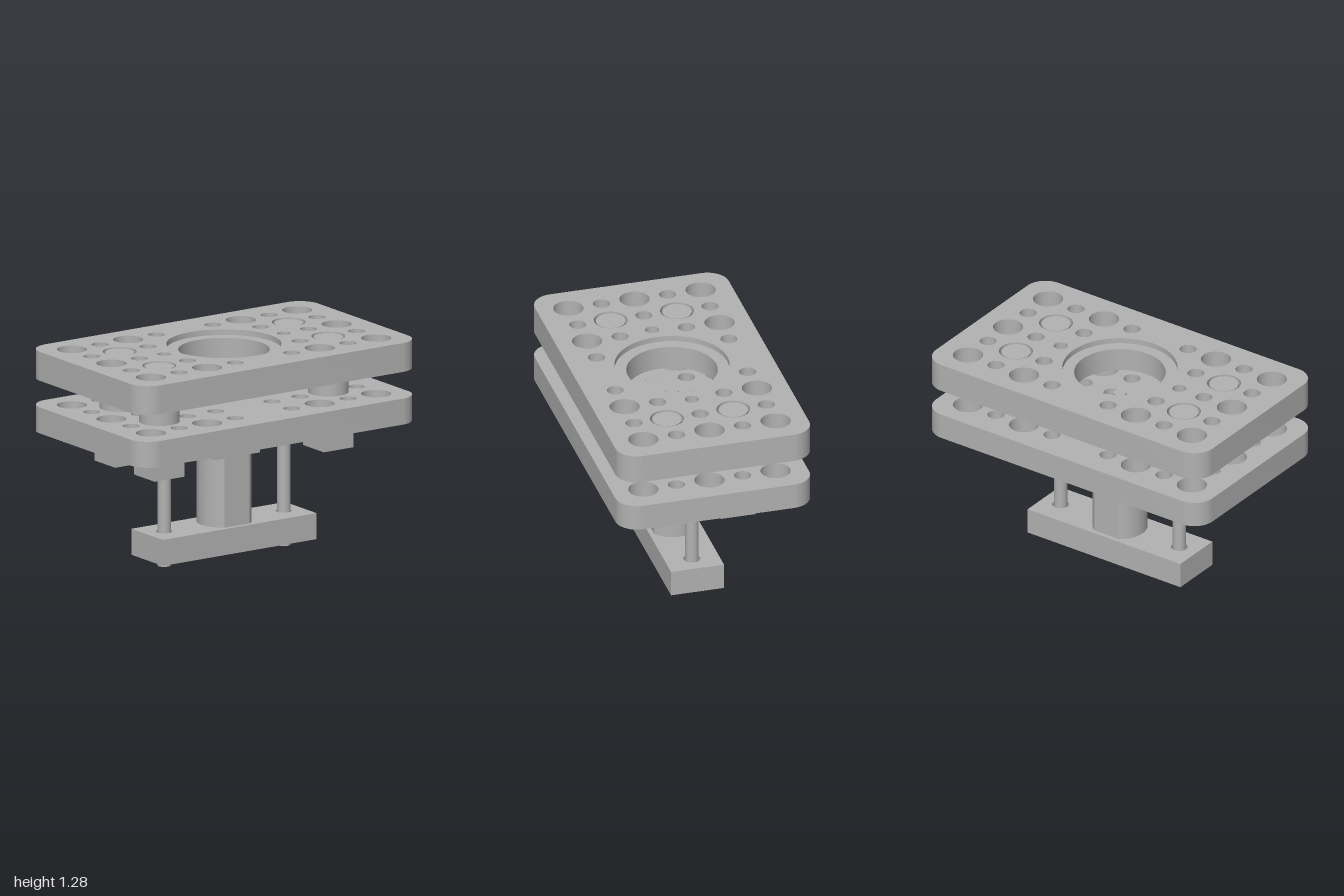
import * as THREE from 'three';
import { toCreasedNormals } from 'three/addons/utils/BufferGeometryUtils.js';

const metal = new THREE.MeshStandardMaterial({ color: 0xb2b2b2 });
metal.name = 'plain grey metal';

export function createModel() {
  const model = new THREE.Group();
  model.name = 'guidedPlateAssembly';

  const add = (name, geometry, x = 0, y = 0, z = 0) => {
    const mesh = new THREE.Mesh(geometry, metal);
    mesh.name = name;
    mesh.position.set(x, y, z);
    model.add(mesh);
    return mesh;
  };
  const rod = (name, r, y0, y1, x = 0, z = 0, sides = 40) => {
    const g = new THREE.CylinderGeometry(r, r, y1 - y0, sides);
    return add(name, sides < 8 ? g.toNonIndexed() : g, x, (y0 + y1) / 2, z).geometry;
  };
  const box = (name, w, y0, y1, d, x = 0, z = 0) =>
    add(name, new THREE.BoxGeometry(w, y1 - y0, d), x, (y0 + y1) / 2, z);

  // Outlines lie in the ground plane and are raised from y0 to y1
  const raise = (name, shape, y0, y1, x = 0, z = 0) => {
    const g = new THREE.ExtrudeGeometry(shape, { depth: y1 - y0, bevelEnabled: false, curveSegments: 20 });
    g.rotateX(-Math.PI / 2);
    return add(name, toCreasedNormals(g, 0.5), x, y0, z);
  };
  const circle = (x, z, r) => new THREE.Path().absarc(x, -z, r, 0, Math.PI * 2, true);
  const polygon = (Kind, points) => new Kind(points.map(([x, z]) => new THREE.Vector2(x, -z)));
  const rect = (Kind, w, d) => polygon(Kind, [[-w, -d], [-w, d], [w, d], [w, -d]]);
  const hex = (Kind, x, r) => polygon(Kind, Array.from({ length: 6 }, (_, i) =>
    [x + r * Math.cos(i * Math.PI / 3), r * Math.sin(i * Math.PI / 3)]));

  // Rounded plate with the repeating hole pattern
  const plate = (name, y0, y1, extraHoles) => {
    const w = 1, d = 0.593, r = 0.13, s = new THREE.Shape();
    s.absarc(w - r, d - r, r, 0, Math.PI / 2);
    s.absarc(r - w, d - r, r, Math.PI / 2, Math.PI);
    s.absarc(r - w, r - d, r, Math.PI, Math.PI * 1.5);
    s.absarc(w - r, r - d, r, Math.PI * 1.5, Math.PI * 2);
    s.closePath();
    for (const side of [-1, 1]) {
      for (const z of [-0.405, 0.405]) {
        for (const [x, hr] of [[0.81, 0.089], [0.608, 0.05], [0.405, 0.089], [0.203, 0.05]])
          s.holes.push(circle(side * x, z, hr));
        for (const x of [0.81, 0.405]) s.holes.push(circle(side * x, z / 2, 0.05));
      }
      s.holes.push(circle(side * 0.81, 0, 0.089), circle(side * 0.608, 0, 0.05), circle(side * 0.43, 0, 0.041));
    }
    s.holes.push(...extraHoles);
    raise(name, s, y0, y1);
  };
  const corners = [[-0.608, -0.203], [0.608, -0.203], [-0.608, 0.203], [0.608, 0.203]];
  const postHoles = () => corners.map(([x, z]) => circle(x, z, 0.1));

  // Top plate, in two layers for the stepped centre bore
  plate('topPlate', 1.108, 1.25, [circle(0, 0, 0.27), ...postHoles()]);
  plate('topPlateRim', 1.25, 1.284, [circle(0, 0, 0.34), ...postHoles()]);

  // Lower plate with shaft, screw and small corner holes
  plate('lowerPlate', 0.788, 0.946, [
    circle(0, 0, 0.065), circle(-0.12, 0, 0.042), circle(0.12, 0, 0.042),
    ...[-1, 1].flatMap(a => [-1, 1].map(b => circle(a * 0.203, b * 0.203, 0.05))),
  ]);

  // Corner posts, nut blocks and their bolts
  for (const [x, z] of corners) {
    rod('spacerPost', 0.12, 0.946, 1.108, x, z);
    rod('postTop', 0.087, 1.108, 1.28, x, z);
    const lower = rect(THREE.Shape, 0.106, 0.106);
    lower.holes.push(hex(THREE.Path, 0, 0.082));
    raise('nutBlockRim', lower, 0.614, 0.65, x, z);
    box('nutBlock', 0.212, 0.65, 0.788, 0.212, x, z);
    rod('nut', 0.068, 0.62, 0.65, x, z, 6).computeVertexNormals();
    rod('boltEnd', 0.04, 0.608, 0.65, x, z);
  }

  // Base bar: hexagonal nut recesses below, round holes above, square pocket
  const barLower = rect(THREE.Shape, 0.553, 0.162);
  const barUpper = rect(THREE.Shape, 0.553, 0.162);
  for (const x of [-0.43, 0.43]) {
    barLower.holes.push(hex(THREE.Path, x, 0.085));
    barUpper.holes.push(circle(x, 0, 0.05));
    rod('guideRod', 0.04, 0, 0.946, x);
    rod('guideNut', 0.072, 0.06, 0.092, x, 0, 6).computeVertexNormals();
  }
  for (const s of [barLower, barUpper]) s.holes.push(rect(THREE.Path, 0.1, 0.1));
  raise('baseBarLower', barLower, 0.048, 0.092);
  raise('baseBarUpper', barUpper, 0.092, 0.206);

  // Motor body: round sides with flats at front and back
  const motor = new THREE.Shape();
  const a = Math.asin(0.135 / 0.162);
  motor.absarc(0, 0, 0.162, -a, a);
  motor.absarc(0, 0, 0.162, Math.PI - a, Math.PI + a);
  motor.closePath();
  raise('motorBody', motor, 0.2, 0.627);
  rod('motorTailShaft', 0.012, 0.042, 0.2);

  // Mounting brackets above the motor
  box('lowerMountPlate', 0.326, 0.627, 0.656, 0.27);
  box('upperMountPlate', 0.326, 0.738, 0.767, 0.27);
  for (const x of [-0.097, 0.097]) {
    box('mountUpright', 0.07, 0.656, 0.738, 0.19, x);
    box('mountPad', 0.07, 0.767, 0.788, 0.19, x);
  }

  // Drive shaft rising through the lower plate
  rod('shaftCollar', 0.055, 0.656, 0.94);
  rod('driveShaft', 0.038, 0.9, 1.112);

  return model;
}
